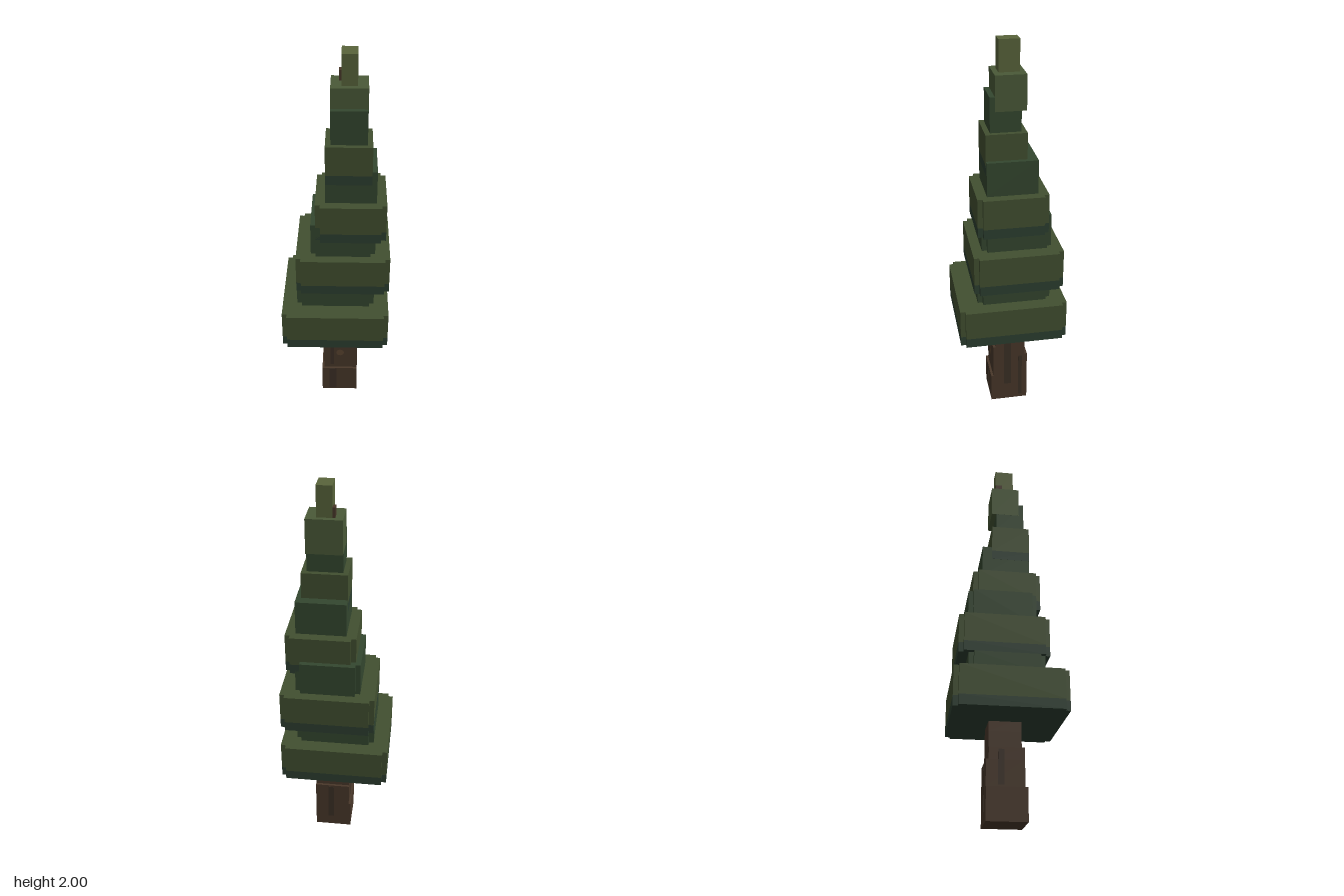
import * as THREE from 'three';

const mat = (color) => new THREE.MeshStandardMaterial({ color, flatShading: true });
const LEAF = mat(0x425030), DARK = mat(0x34472f), BAND = mat(0x2d3f31);
const CROWN = mat(0x4a5a38), TIP = mat(0x59643b);
const BARK = mat(0x49382a), BARK_DARK = mat(0x3c3026), KNOT = mat(0x5c4631);

// Block between y0 and y1, with its four corners notched by n
function block(name, material, [x0, x1, z0, z1], y0, y1, n = 0) {
  let geo;
  if (n) {
    const p = [
      [x0 + n, z1], [x1 - n, z1], [x1 - n, z1 - n], [x1, z1 - n],
      [x1, z0 + n], [x1 - n, z0 + n], [x1 - n, z0], [x0 + n, z0],
      [x0 + n, z0 + n], [x0, z0 + n], [x0, z1 - n], [x0 + n, z1 - n],
    ].map(([x, z]) => new THREE.Vector2(x, -z));
    geo = new THREE.ExtrudeGeometry(new THREE.Shape(p), { depth: y1 - y0, bevelEnabled: false });
    geo.rotateX(-Math.PI / 2).translate(0, y0, 0);
  } else {
    geo = new THREE.BoxGeometry(x1 - x0, y1 - y0, z1 - z0);
    geo.translate((x0 + x1) / 2, (y0 + y1) / 2, (z0 + z1) / 2);
  }
  const mesh = new THREE.Mesh(geo, material);
  mesh.name = name;
  return mesh;
}

export function createModel() {
  const tree = new THREE.Group();
  tree.name = 'pineTree';

  // Trunk: stacked blocks, each side stepping in at its own height
  const trunk = new THREE.Group();
  trunk.name = 'trunk';
  [
    [0, 0.16, [-0.075, 0.12, -0.098, 0.1]],
    [0.16, 0.29, [-0.065, 0.12, -0.098, 0.088]],
    [0.29, 0.35, [-0.065, 0.12, -0.085, 0.088]],
    [0.35, 0.43, [-0.05, 0.12, -0.085, 0.075]],
    [0.43, 0.5, [-0.05, 0.11, -0.085, 0.075]],
  ].forEach(([y0, y1, r], i) => trunk.add(block('trunkBlock' + (i + 1), BARK, r, y0, y1)));
  // Thin stem whose top shows beside the tip
  trunk.add(block('stem', BARK, [0.0125, 0.09, -0.0495, -0.0125], 0.5, 1.9));
  // Darker bark streaks, just proud of the surface
  const e = 0.001;
  [
    [[-0.035, 0.005, 0.09, 0.1 + e], 0.01, 0.158],
    [[-0.03, -0.01, 0.08, 0.088 + e], 0.18, 0.345],
    [[0.035, 0.06, 0.065, 0.075 + e], 0.355, 0.4],
    [[0.11, 0.12 + e, -0.01, 0.03], 0.1, 0.42],
    [[0.11, 0.12 + e, -0.07, -0.05], 0.02, 0.28],
    [[0.02, 0.05, -0.098 - e, -0.09], 0.06, 0.28],
    [[-0.065 - e, -0.06, -0.04, -0.01], 0.17, 0.34],
  ].forEach(([r, y0, y1]) => trunk.add(block('barkStreak', BARK_DARK, r, y0, y1)));
  const knot = new THREE.Mesh(new THREE.CircleGeometry(0.022, 8), KNOT);
  knot.name = 'knot';
  knot.position.set(0.025, 0.27, 0.088 + e);
  trunk.add(knot);
  tree.add(trunk);

  // Broad branch tiers with a shaded band along the bottom
  const n = 0.025;
  [
    [[-0.275, 0.275, -0.275, 0.275], 0.48, n],
    [[-0.2, 0.275, -0.25, 0.2], 0.78, n],
    [[-0.1, 0.25, -0.175, 0.175], 1.08, n],
    [[-0.05, 0.175, -0.075, 0.125], 1.38, 0],
  ].forEach(([r, y, notch], i) => {
    const tier = new THREE.Group();
    tier.name = 'branchTier' + (i + 1);
    tier.add(block('tierBand', BAND, r, y, y + 0.05, notch));
    tier.add(block('tierBody', LEAF, r, y + 0.05, y + 0.2, notch));
    tree.add(tier);
  });

  // Darker, narrower foliage between the tiers
  [
    [[-0.2, 0.2, -0.2, 0.175], 0.68, 0.78, n],
    [[-0.125, 0.2, -0.2, 0.15], 0.98, 1.15, n],
    [[-0.0495, 0.2, -0.125, 0.1245], 1.28, 1.45, 0],
    [[-0.0245, 0.1495, -0.05, 0.1], 1.58, 1.75, 0],
  ].forEach(([r, y0, y1, notch], i) =>
    tree.add(block('innerFoliage' + (i + 1), DARK, r, y0, y1, notch)));

  // Crown and tip
  tree.add(block('crown', CROWN, [-0.025, 0.15, -0.075, 0.075], 1.68, 1.85));
  tree.add(block('tip', TIP, [0.025, 0.1, -0.05, 0.05], 1.85, 2));
  return tree;
}
